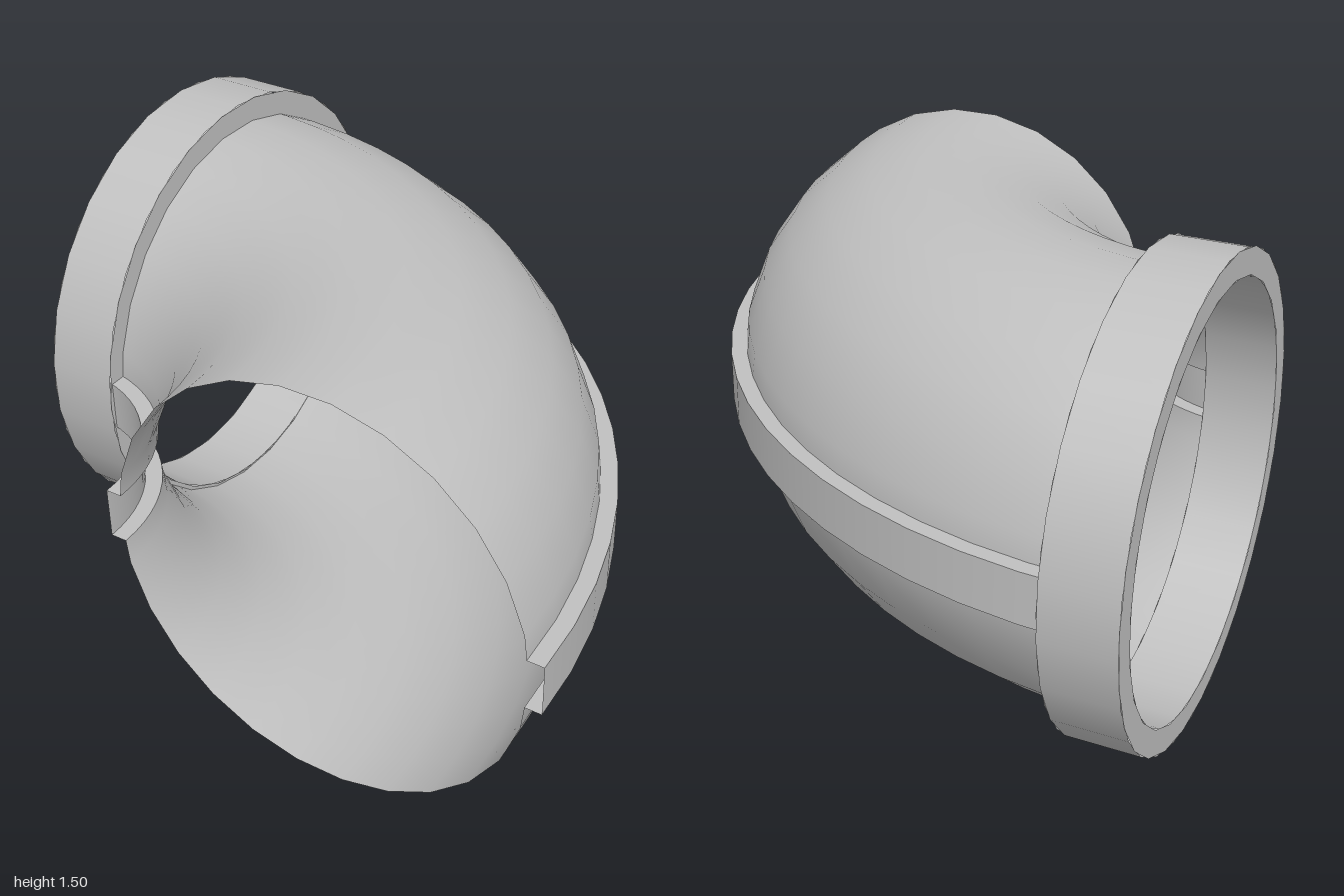
import * as THREE from 'three';

export function createModel() {
  const group = new THREE.Group();
  const grey = new THREE.MeshStandardMaterial({ color: 0xc0c0c0, side: THREE.DoubleSide });
  grey.name = 'light grey';

  const SIDES = 26;
  const R = 1.17, r = 0.673, CY = 0.747;      // bend radius, pipe radius, axis height
  const BX = -0.885, BZ = 0.96;               // centre of the bend
  const h = 0.082, rib = 0.715, seat = 0.663; // rib half height, rib reach, rib foot

  const add = (name, geometry, parent = group) => {
    const mesh = new THREE.Mesh(geometry, grey);
    mesh.name = name;
    parent.add(mesh);
    return mesh;
  };

  // Sweeps a section [offset from pipe axis, height] through the quarter bend
  const sweep = (name, section) => {
    const points = section.map(([x, y]) => new THREE.Vector2(R + x, y));
    const mesh = add(name, new THREE.LatheGeometry(points, 16, Math.PI / 2, Math.PI / 2));
    mesh.position.set(BX, CY, BZ);
  };

  // Thin open pipe: upper half from rib to rib, lower half mirrored
  const upper = [[seat, h]];
  for (let i = 1; i < SIDES / 2; i++) {
    const a = (i * 2 * Math.PI) / SIDES;
    upper.push([r * Math.cos(a), r * Math.sin(a)]);
  }
  upper.push([-seat, h]);
  sweep('upperPipe', upper);
  sweep('lowerPipe', upper.map(([x, y]) => [-x, -y]));

  // Hollow ribs along the outer and inner side of the bend
  for (const [name, s] of [['outerRib', 1], ['innerRib', -1]]) {
    const c = [[seat, -h], [rib, -h], [rib, h], [seat, h]].map(([x, y]) => [s * x, s * y]);
    for (let i = 0; i < 3; i++) sweep(name, [c[i], c[i + 1]]);
  }

  // Collar: a ring around the pipe's side opening
  const collar = new THREE.Group();
  collar.name = 'collar';
  const outer = 0.75, inner = 0.667, width = 0.23;
  for (const [name, radius] of [['collarOuterWall', outer], ['collarInnerWall', inner]]) {
    const wall = new THREE.CylinderGeometry(radius, radius, width, SIDES, 1, true);
    add(name, wall.rotateX(Math.PI / 2), collar);
  }
  for (const s of [-1, 1]) {
    const face = add('collarFace', new THREE.RingGeometry(inner, outer, SIDES), collar);
    face.position.z = (s * width) / 2;
    if (s < 0) face.rotation.y = Math.PI;
  }
  collar.rotation.y = Math.PI / 2;
  collar.position.set(BX, CY, -0.213);
  group.add(collar);

  return group;
}
